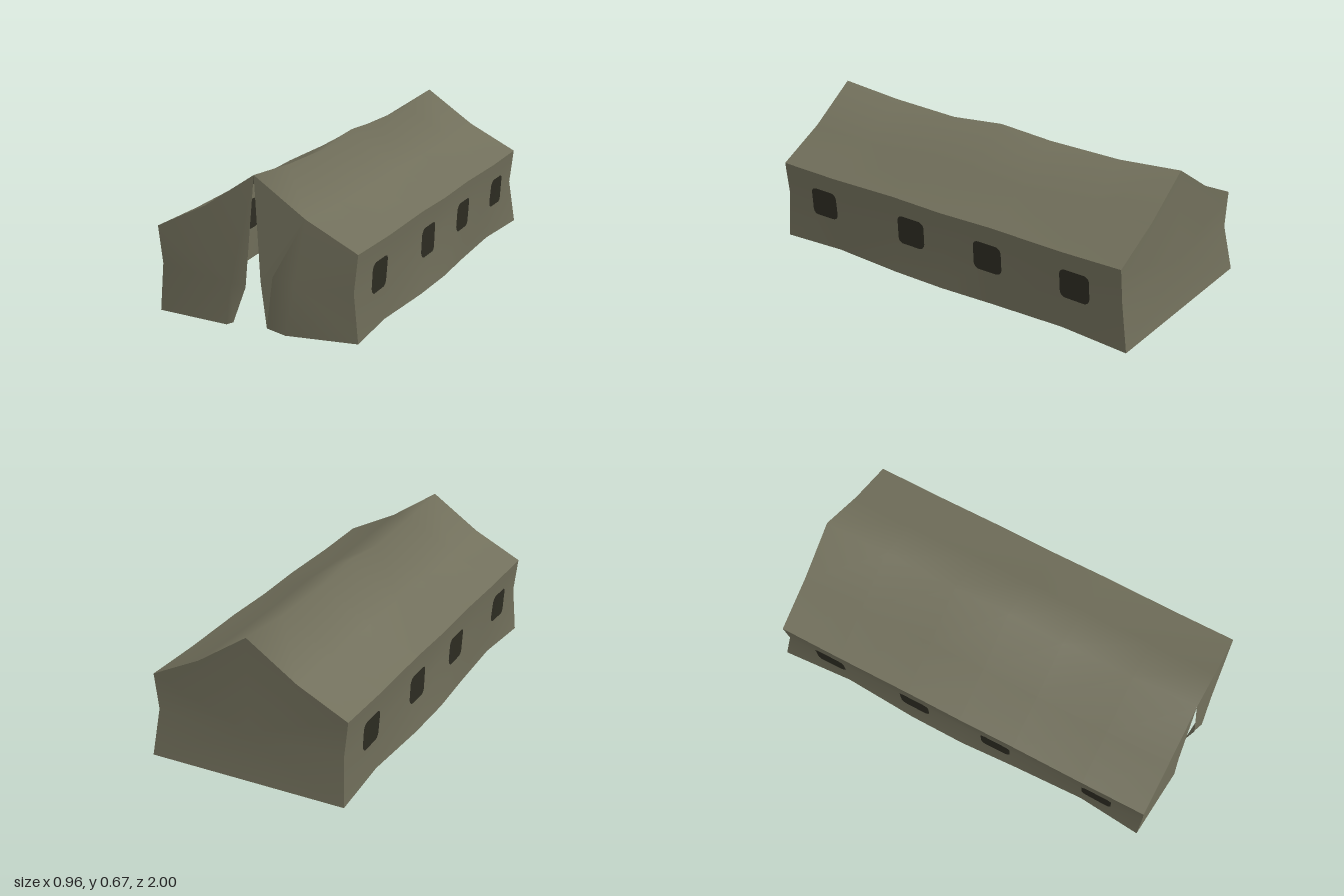
import * as THREE from 'three';

const canvas = new THREE.MeshStandardMaterial({ color: 0x706e5a, side: THREE.DoubleSide });
canvas.name = 'olive canvas';
const dark = new THREE.MeshStandardMaterial({ color: 0x2d2c22, side: THREE.DoubleSide });
dark.name = 'dark window';

// Stations along the tent, front to back, where the cloth sags or lifts
const Z = [0.955, 0.64, 0.28, 0, -0.28, -0.65, -0.96];
const RIDGE = [0.672, 0.645, 0.633, 0.663, 0.645, 0.645, 0.672];
const EAVE = [0.39, 0.385, 0.391, 0.385, 0.391, 0.385, 0.39];
const HEM = [0.48, 0.457, 0.478, 0.48, 0.465, 0.452, 0.48];
const MID_Y = 0.22, MID_X = 0.46, EAVE_X = 0.48;

// Smooth cloth from points and triangles
function skin(name, points, faces) {
  const g = new THREE.BufferGeometry();
  g.setAttribute('position', new THREE.Float32BufferAttribute(points.flat(), 3));
  g.setIndex(faces.flat());
  g.computeVertexNormals();
  const mesh = new THREE.Mesh(g, canvas);
  mesh.name = name;
  return mesh;
}

// Smooth cloth lofted through rows of points
function loft(name, rows) {
  const n = rows[0].length, faces = [];
  for (let i = 0; i < rows.length - 1; i++) {
    for (let j = 0; j < n - 1; j++) {
      const a = i * n + j, b = a + n;
      faces.push([a, a + 1, b], [a + 1, b + 1, b]);
    }
  }
  return skin(name, rows.flat(), faces);
}

// The hem's waves run in opposite order on the two sides
const hemAt = (i, side) => (side > 0 ? HEM[i] : HEM[Z.length - 1 - i]);

// Distance of a side wall from the centre at a given height and depth
function wallX(y, z, side) {
  let i = 0;
  while (i < Z.length - 2 && z < Z[i + 1]) i++;
  const t = (Z[i] - z) / (Z[i] - Z[i + 1]);
  const hem = THREE.MathUtils.lerp(hemAt(i, side), hemAt(i + 1, side), t);
  return y < MID_Y
    ? THREE.MathUtils.lerp(hem, MID_X, y / MID_Y)
    : THREE.MathUtils.lerp(MID_X, EAVE_X, (y - MID_Y) / (0.39 - MID_Y));
}

function wall(side) {
  const rows = Z.map((z, i) => {
    const row = [
      [side * EAVE_X, EAVE[i], z],
      [side * MID_X, MID_Y, z],
      [side * hemAt(i, side), 0, i === Z.length - 1 ? -1 : z],
    ];
    return side > 0 ? row.reverse() : row;
  });
  // both sides wound so that the outside is the front
  return loft(side > 0 ? 'leftWall' : 'rightWall', rows.map((r) => r.slice().reverse()));
}

// Rounded window patch that follows the wall, on its outer or inner face
function windowPatch(side, zc, offset) {
  const w = 0.077, h = 0.071, r = 0.03, s = new THREE.Shape();
  s.absarc(w - r, h - r, r, 0, Math.PI / 2);
  s.absarc(r - w, h - r, r, Math.PI / 2, Math.PI);
  s.absarc(r - w, r - h, r, Math.PI, Math.PI * 1.5);
  s.absarc(w - r, r - h, r, Math.PI * 1.5, Math.PI * 2);
  const g = new THREE.ShapeGeometry(s, 4);
  const p = g.attributes.position;
  for (let i = 0; i < p.count; i++) {
    const y = 0.231 + p.getY(i), z = zc - side * p.getX(i);
    p.setXYZ(i, side * (wallX(y, z, side) + offset), y, z);
  }
  g.computeVertexNormals();
  const mesh = new THREE.Mesh(g, dark);
  mesh.name = offset > 0 ? 'windowOutside' : 'windowInside';
  return mesh;
}

export function createModel() {
  const tent = new THREE.Group();
  tent.name = 'tent';

  // Roof, smooth over the ridge
  tent.add(loft('roof', Z.map((z, i) => {
    const m = 0.51 + (RIDGE[i] - 0.672) * 0.4;
    return [[0.48, EAVE[i], z], [0.24, m, z], [0, RIDGE[i], z], [-0.24, m, z], [-0.48, EAVE[i], z]].reverse();
  }).reverse().map((r) => r.reverse())));

  // Side walls with their windows
  for (const side of [1, -1]) {
    tent.add(wall(side));
    for (const z of [0.717, 0.181, -0.257, -0.723]) {
      tent.add(windowPatch(side, z, 0.006), windowPatch(side, z, -0.006));
    }
  }

  // Back gable, flaring out at the hem
  const b = -0.96;
  tent.add(skin('backGable', [
    [0, 0.22, b - 0.006],
    [0, 0.672, b], [0.24, 0.51, b], [0.48, 0.39, b], [0.46, 0.22, b], [0.48, 0, -1],
    [-0.48, 0, -1], [-0.46, 0.22, b], [-0.48, 0.39, b], [-0.24, 0.51, b],
  ], [1, 2, 3, 4, 5, 6, 7, 8, 9].map((i) => [0, i, (i % 9) + 1])));

  // Right front flap, its free edge curling in
  const f = 0.955;
  tent.add(skin('rightFlap', [
    [0, 0.672, f], [-0.24, 0.51, f], [-0.48, 0.39, f], [-0.46, 0.22, f], [-0.48, 0, f],
    [-0.13, 0, 0.987], [-0.115, 0, 0.953], [-0.05, 0.17, f], [-0.11, 0.19, 0.977],
  ], [
    [0, 1, 8], [1, 2, 8], [2, 3, 8], [3, 4, 8], [4, 5, 8], [5, 6, 8], [6, 7, 8], [7, 0, 8],
  ]));

  // Left front flap: outer panel and the folded strip beside the opening
  const fold = [0.09, 0.24, 0.972], foot = [0.05, 0, f], top = [0.24, 0.51, f];
  tent.add(skin('leftFlap', [
    top, fold, foot, [0.16, 0, 0.997], [0.48, 0, f], [0.46, 0.22, f], [0.48, 0.39, f],
    [0.2, 0.23, 0.985],
  ], [
    [1, 2, 3], [1, 3, 7], [1, 7, 0], [0, 7, 6], [7, 5, 6], [7, 3, 4], [7, 4, 5],
  ]));
  tent.add(skin('leftFlapFold', [[0, 0.672, f], [0.04, 0.22, 0.985], top], [[0, 1, 2]]));
  tent.add(skin('leftFlapCrease', [[0.04, 0.22, 0.985], foot, fold, top], [[0, 1, 2], [0, 2, 3]]));

  return tent;
}
